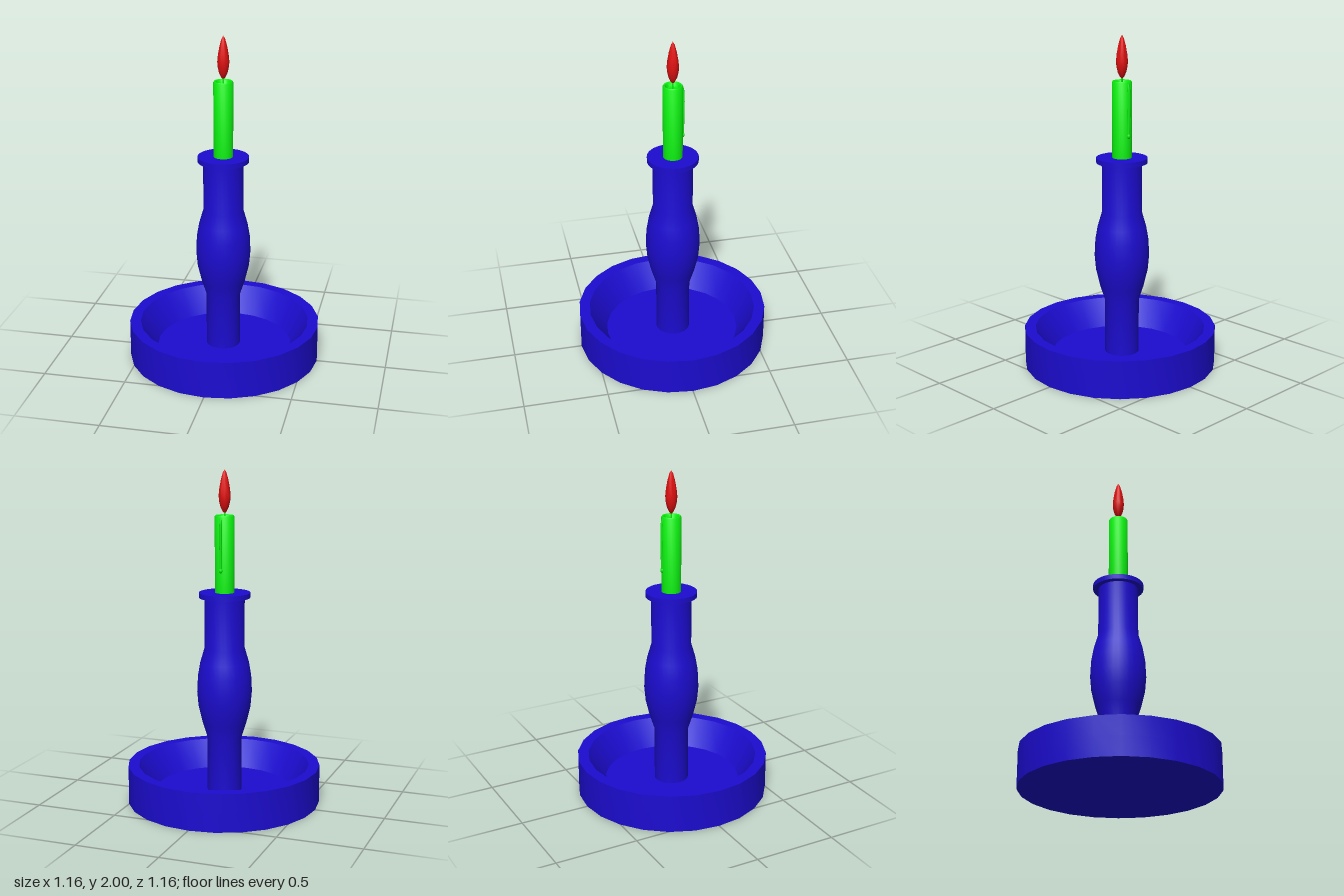
import * as THREE from 'three';
import { toCreasedNormals } from 'three/addons/utils/BufferGeometryUtils.js';

const blue = new THREE.MeshStandardMaterial({ color: 0x1c0cd0 });
const green = new THREE.MeshStandardMaterial({ color: 0x0cf010 });
const red = new THREE.MeshStandardMaterial({ color: 0xe01010 });

export function createModel() {
  const model = new THREE.Group();

  function add(parent, name, geometry, material) {
    const mesh = new THREE.Mesh(geometry, material);
    mesh.name = name;
    parent.add(mesh);
    return mesh;
  }

  // Turned part from [radius, height] pairs, outside listed bottom to top
  function lathe(parent, name, profile, sides, material) {
    const points = profile.map(([r, y]) => new THREE.Vector2(r, y));
    const geometry = toCreasedNormals(new THREE.LatheGeometry(points, sides), 0.7);
    return add(parent, name, geometry, material);
  }

  // Dish with a sloping inner wall
  lathe(model, 'dish', [
    [0, 0], [0.58, 0], [0.58, 0.115], [0.58, 0.23],
    [0.515, 0.23], [0.41, 0.07], [0, 0.07],
  ], 24, blue);

  // Everything above the dish sits slightly off its centre
  const column = new THREE.Group();
  column.name = 'column';
  column.position.set(-0.008, 0, -0.008);
  model.add(column);

  // Stem with a swelling grip
  lathe(column, 'stem', [
    [0.103, 0.06], [0.103, 0.4], [0.132, 0.49], [0.156, 0.59], [0.164, 0.68],
    [0.159, 0.78], [0.145, 0.86], [0.119, 0.95], [0.119, 1.255],
  ], 32, blue);

  // Drip plate
  lathe(column, 'dripPlate', [
    [0, 1.25], [0.152, 1.25], [0.152, 1.28], [0, 1.28],
  ], 32, blue);

  // Candle with a shallow melted well
  lathe(column, 'candle', [
    [0, 1.28], [0.058, 1.28], [0.058, 1.728], [0.053, 1.735],
    [0.046, 1.733], [0.035, 1.712], [0, 1.705],
  ], 24, green);

  // Wax run down the back, ending in a drop
  const run = new THREE.CatmullRomCurve3([
    new THREE.Vector3(0.003, 1.725, -0.05),
    new THREE.Vector3(0.003, 1.7, -0.058),
    new THREE.Vector3(0.003, 1.41, -0.058),
  ]);
  add(column, 'waxRun', new THREE.TubeGeometry(run, 16, 0.008, 8), green);
  const drop = add(column, 'waxDrop', new THREE.SphereGeometry(0.011, 12, 8), green);
  drop.scale.y = 1.4;
  drop.position.set(0.003, 1.415, -0.058);

  // Wick
  const wick = add(column, 'wick', new THREE.CylinderGeometry(0.005, 0.005, 0.06, 8), green);
  wick.position.y = 1.732;

  // Flame
  lathe(column, 'flame', [
    [0, 1.745], [0.012, 1.757], [0.025, 1.785], [0.033, 1.82], [0.035, 1.85],
    [0.031, 1.89], [0.022, 1.94], [0.011, 1.98], [0, 2],
  ], 20, red);

  return model;
}
